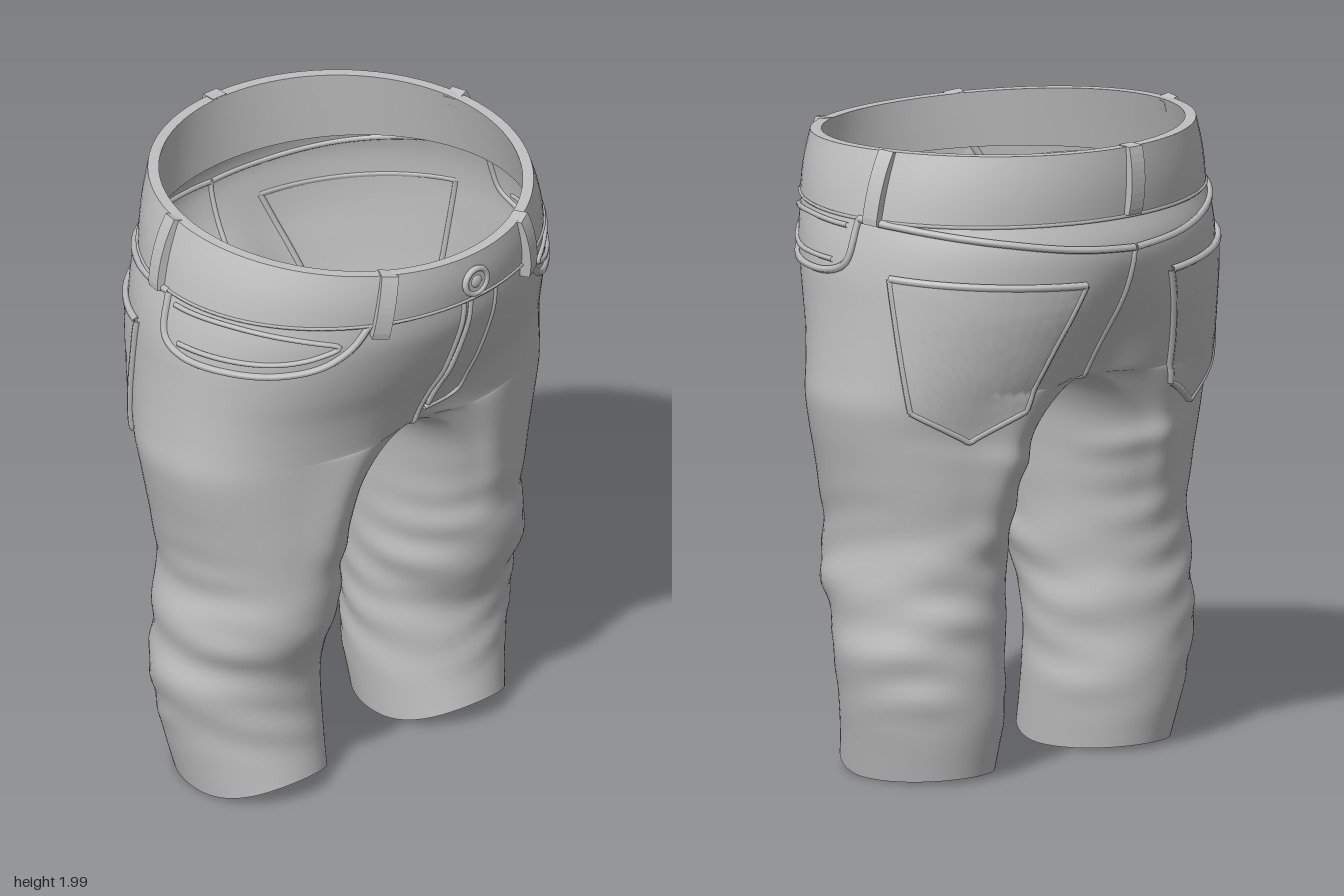
import * as THREE from 'three';
import { mergeVertices } from 'three/addons/utils/BufferGeometryUtils.js';
import { ParametricGeometry } from 'three/addons/geometries/ParametricGeometry.js';

const { sin, cos, abs, pow, exp, max, sqrt, sign, PI } = Math;
const lerp = THREE.MathUtils.lerp, smooth = THREE.MathUtils.smoothstep;

// leg sections: height, outer x, inner x, front z, back z
const LEG = [
  [0, .57, .15, .26, -.27], [.2, .612, .132, .225, -.31], [.4, .65, .13, .22, -.315],
  [.5, .638, .125, .245, -.32], [.6, .645, .12, .29, -.315], [.7, .63, .118, .305, -.325], [.8, .628, .115, .315, -.335],
  [1, .67, .11, .35, -.385], [1.1, .693, .11, .365, -.4], [1.2, .709, .1, .383, -.44], [1.3, .702, .1, .4, -.49],
];
// hip sections: height, side x, front z, back z
const HIP = [
  [.8, .628, .315, -.335], [1, .67, .35, -.385], [1.1, .693, .365, -.405], [1.2, .709, .38, -.445], [1.3, .702, .4, -.493],
  [1.4, .695, .432, -.535], [1.5, .69, .482, -.572], [1.6, .686, .527, -.592], [1.7, .67, .563, -.6], [1.8, .642, .575, -.57],
];

// smooth lookup in a table of sections
function section(table, y) {
  const n = table.length;
  let i = 0;
  while (i < n - 2 && y > table[i + 1][0]) i++;
  const a = table[i], b = table[i + 1], p = table[max(0, i - 1)], q = table[Math.min(n - 1, i + 2)];
  const h = b[0] - a[0], t = THREE.MathUtils.clamp((y - a[0]) / h, 0, 1), t2 = t * t, t3 = t2 * t;
  return a.slice(1).map((va, k) => {
    const vb = b[k + 1];
    const ma = (vb - p[k + 1]) / (b[0] - p[0]) * h, mb = (q[k + 1] - va) / (q[0] - a[0]) * h;
    return (2 * t3 - 3 * t2 + 1) * va + (t3 - 2 * t2 + t) * ma + (3 * t2 - 2 * t3) * vb + (t3 - t2) * mb;
  });
}

const JOIN = 1.25, ALPHA = 115 * PI / 180;

// half hip contour, from back centre (-90 deg) over the side to front centre (+90 deg)
function hipPoint(psi, y) {
  const [xo, zf, zb] = section(HIP, y);
  const e = lerp(.85, 1, smooth(y, 1.1, 1.75));
  const x = xo * pow(max(0, cos(psi)), e), s = sin(psi);
  const dip = s > 0 ? .16 * (1 - smooth(y, 1.15, 1.5)) : .23 * (1 - smooth(y, 1.15, 1.68));
  const z = (s > 0 ? zf : -zb) * sign(s) * pow(abs(s), e) * (1 - dip * exp(-((x / .14) ** 2)));
  return [x, y, z];
}

// ring where leg and hips meet; its inner arc is the crotch curve
function joinPoint(phi) {
  if (phi <= ALPHA) return hipPoint(phi / ALPHA * PI / 2, JOIN);
  const s = (phi - ALPHA) / (2 * PI - 2 * ALPHA);
  const f = hipPoint(PI / 2, JOIN)[2], b = hipPoint(-PI / 2, JOIN)[2];
  return [0, JOIN - .03 * sin(PI * s), (f + b) / 2 + (f - b) / 2 * cos(PI * s)];
}

function legPoint(phi, t, side) {
  const j = joinPoint(phi), s = sin(phi), c = cos(phi);
  const hem = .01 + (s > 0 ? .07 : .015) * s * s;
  const y = lerp(hem, j[1], t);
  // ease into the hips outside, round off into an arch inside
  const turn = Math.min(abs(phi), 2 * PI - phi);
  const k = smooth(turn, 1.2, ALPHA);
  const w = lerp(smooth(t, .5, 1), 1 - sqrt(max(0, 1 - pow(t, 6))), k);
  const hip = phi <= ALPHA ? hipPoint(phi / ALPHA * PI / 2, y) : j;
  const [xo, xi, zf, zb] = section(LEG, y);
  // soft slanted cloth folds, fading around the leg
  const mask = smooth(y, .08, .3) * (1 - smooth(y, .75, 1.05));
  const fold = mask * (.005 * sin(27 * y + 2.6 * c * side + s) * (.5 + .5 * sin(2 * phi + side + 5 * y))
    + .004 * sin(46 * y - 4 * c + 3 * s * side) * (.5 + .5 * cos(phi * 3 + 7 * y)))
    + .012 * smooth(-s, .3, .95) * exp(-(((y - 1.03 - .06 * c) / .04) ** 2));
  const x = (xo + xi) / 2 + ((xo - xi) / 2 + fold) * c;
  const z = (zf + zb) / 2 + ((zf - zb) / 2 + fold) * s;
  return [lerp(x, lerp(hip[0], j[0], k), w), y, lerp(z, lerp(hip[2], j[2], k), w)];
}

// trouser cloth: two mirrored legs flowing into the hips
function clothGeometry() {
  const NO = 52, NI = 32, M = NO + NI, K = 64, U = 26, pos = [], idx = [];
  for (const side of [1, -1]) {
    const base = pos.length / 3;
    const add = p => pos.push(p[0] * side, p[1], p[2]);
    const quad = (a, b, c, d) => side > 0 ? idx.push(a, b, c, a, c, d) : idx.push(a, c, b, a, d, c);
    const angle = j => j <= NO ? lerp(-ALPHA, ALPHA, j / NO) : lerp(ALPHA, 2 * PI - ALPHA, (j - NO) / NI);
    for (let i = 0; i <= K; i++) for (let j = 0; j < M; j++) add(legPoint(angle(j), 1 - pow(1 - i / K, 1.5), side));
    for (let i = 0; i < K; i++) for (let j = 0; j < M; j++) {
      const a = base + i * M + j, b = base + i * M + (j + 1) % M;
      quad(a, a + M, b + M, b);
    }
    const top = pos.length / 3, W = NO + 1;
    for (let i = 0; i <= U; i++) for (let j = 0; j <= NO; j++) add(hipPoint(lerp(-PI / 2, PI / 2, j / NO), lerp(JOIN, 1.8, i / U)));
    for (let i = 0; i < U; i++) for (let j = 0; j < NO; j++) {
      const a = top + i * W + j;
      quad(a, a + W, a + W + 1, a + 1);
    }
  }
  let g = new THREE.BufferGeometry();
  g.setAttribute('position', new THREE.Float32BufferAttribute(pos, 3));
  g.setIndex(idx);
  g = mergeVertices(g, 1e-4);
  g.computeVertexNormals();
  return g;
}

// waistband surface: angle, height fraction, outward offset
function band(psi, v, off = 0) {
  const s = sin(psi), c = cos(psi);
  const top = 1.985 - .03 * s - .015 * s * s;
  const rz = s > 0 ? lerp(.583, .592, v) : lerp(.582, .592, v);
  return new THREE.Vector3((lerp(.65, .589, v) + off) * c, lerp(1.775, top, v), (rz + off) * s);
}

export function createModel() {
  const root = new THREE.Group();
  const cloth = new THREE.MeshStandardMaterial({ color: 0xc0c0c0, side: THREE.DoubleSide });
  cloth.name = 'grey cloth';
  const add = (name, geo) => {
    const m = new THREE.Mesh(geo, cloth);
    m.name = name;
    root.add(m);
    return m;
  };
  const body = add('trouserCloth', clothGeometry());
  body.updateMatrixWorld();

  // drop a point onto the cloth, looking from outside towards the line x = cx, z = 0
  const ray = new THREE.Raycaster();
  const project = ([x, y, z], off = 0, cx = 0) => {
    const out = new THREE.Vector3(x - cx, 0, z).normalize();
    ray.set(new THREE.Vector3(cx, y, 0).addScaledVector(out, 2), out.clone().negate());
    const hit = ray.intersectObject(body)[0];
    return (hit ? hit.point : new THREE.Vector3(x, y, z)).clone().addScaledVector(out, off);
  };
  const tube = (name, pts, r = .009) =>
    add(name, new THREE.TubeGeometry(new THREE.CatmullRomCurve3(pts, false, 'centripetal'), pts.length * 4, r, 6));
  // seam through a few guide points, refined and laid on the cloth
  const seam = (name, guide, r) => {
    const curve = new THREE.CatmullRomCurve3(guide.map(p => new THREE.Vector3(...p)), false, 'centripetal');
    tube(name, curve.getPoints(28).map(p => project(p.toArray(), .003)), r);
  };

  // waistband: outer face, rim, inner face and lower edge
  const T = .034;
  const strip = (name, f, n) => add(name, new ParametricGeometry((u, v, p) => p.copy(f(u * 2 * PI, v)), 96, n));
  strip('waistbandOuter', (a, v) => band(a, v, .007 * sin(PI * v)), 6);
  strip('waistbandRim', (a, v) => band(a, 1, -T * v), 1);
  strip('waistbandInner', (a, v) => band(a, v, -T), 4);
  strip('waistbandLowerEdge', (a, v) => band(a, 0, -T * v), 1);
  const hemLine = Array.from({ length: 64 }, (_, i) => band(i / 64 * 2 * PI, .03, .001));
  add('waistbandStitch', new THREE.TubeGeometry(new THREE.CatmullRomCurve3(hemLine, true), 128, .006, 5, true));

  // belt loops
  const loop = (psi, v0) => {
    const p0 = band(psi, v0), p1 = band(psi, 1), up = p1.clone().sub(p0), h = up.length();
    up.normalize();
    const side = new THREE.Vector3(p1.x, 0, p1.z).normalize().cross(up).normalize();
    const out = up.clone().cross(side);
    const s = new THREE.Shape();
    s.moveTo(-.034, h + .002);
    s.lineTo(.014, h + .002);
    s.quadraticCurveTo(.043, h * .55, .026, .01);
    s.lineTo(.02, -.01);
    s.lineTo(-.012, -.01);
    s.lineTo(.006, h * .5);
    s.lineTo(-.034, h - .03);
    const g = new THREE.ExtrudeGeometry(s, { depth: .054, bevelEnabled: false, curveSegments: 8 });
    g.translate(0, 0, -.027);
    g.applyMatrix4(new THREE.Matrix4().makeBasis(out, up, side).setPosition(p0));
    add('beltLoop', g);
  };
  for (const a of [1.1, PI - 1.1]) loop(a, -.15);
  for (const a of [-.2, PI + .2]) loop(a, 0);
  loop(-PI / 2, .1);

  for (const s of [1, -1]) {
    const mir = pts => pts.map(([x, y, z]) => [x * s, y, z]);
    // front pocket opening and the small pocket within
    seam('frontPocketEdge', mir([[.32, 1.78, .5], [.37, 1.7, .47], [.45, 1.64, .43], [.55, 1.61, .35], [.63, 1.603, .2],
      [.68, 1.615, .02], [.68, 1.65, -.04], [.66, 1.78, -.06]]), .012);
    seam('coinPocketEdge', mir([[.66, 1.755, -.02], [.6, 1.755, .22], [.46, 1.73, .4], [.4, 1.71, .45], [.46, 1.675, .41],
      [.55, 1.65, .33], [.66, 1.645, .02]]), .009);
    // yoke seam across the back
    seam('yokeSeam', mir([[.66, 1.78, -.06], [.6, 1.765, -.25], [.4, 1.73, -.46], [.2, 1.7, -.56], [.004, 1.685, -.6]]), .012);

    // back pocket with pointed bottom and piped border
    const spot = (u, v, off) => {
      const top = lerp(1.585, 1.615, u);
      const bottom = u < .5 ? lerp(1.19, 1.1, u * 2) : lerp(1.1, 1.2, u * 2 - 1);
      const a = lerp(lerp(-.13, .11, v), lerp(1.1, .95, v), u);
      return project([(.25 + sin(a)) * s, lerp(top, bottom, v), -cos(a)], off, .25 * s);
    };
    add('backPocket', new ParametricGeometry((u, v, p) => p.copy(spot(u, v, .011)), 28, 28));
    const run = f => Array.from({ length: 15 }, (_, i) => f(i / 14));
    tube('backPocketTop', run(t => spot(t, 0, .007)), .012);
    tube('backPocketInnerEdge', run(t => spot(0, t, .005)), .011);
    tube('backPocketOuterEdge', run(t => spot(1, t, .005)), .011);
    tube('backPocketBottom', run(t => spot(t, 1, .005)), .011);
  }

  // fly panel with its edges
  const flyAt = (x, y, off) => project([x, y, 1], off, x);
  const flyBottom = u => 1.31 + .06 * u * u;
  add('flyPanel', new ParametricGeometry((u, v, p) => p.copy(flyAt(lerp(.022, .13, u), lerp(1.775, flyBottom(u), v), .008)), 8, 20));
  const flyEdge = [];
  for (let i = 0; i <= 12; i++) flyEdge.push(flyAt(.13, lerp(1.775, 1.38, i / 12), .005));
  for (const [x, y] of [[.12, 1.345], [.09, 1.325], [.05, 1.312], [.012, 1.305]]) flyEdge.push(flyAt(x, y, .005));
  tube('flyEdge', flyEdge, .009);
  tube('flyOpening', Array.from({ length: 14 }, (_, i) => flyAt(.022, lerp(1.775, 1.32, i / 13), .006)), .008);

  // centre seam from front to back through the crotch
  const centre = [];
  for (let i = 0; i <= 12; i++) centre.push(new THREE.Vector3(...hipPoint(PI / 2, lerp(1.78, JOIN, i / 12))));
  for (let i = 1; i < 14; i++) centre.push(new THREE.Vector3(...joinPoint(lerp(ALPHA, 2 * PI - ALPHA, i / 14))));
  for (let i = 0; i <= 12; i++) centre.push(new THREE.Vector3(...hipPoint(-PI / 2, lerp(JOIN, 1.69, i / 12))));
  tube('centreSeam', centre, .009);

  // waist button
  const button = new THREE.Group();
  button.name = 'button';
  const disc = new THREE.Mesh(new THREE.CylinderGeometry(.045, .05, .024, 28).rotateX(PI / 2), cloth);
  const rim = new THREE.Mesh(new THREE.TorusGeometry(.043, .01, 8, 28).translate(0, 0, .009), cloth);
  const stud = new THREE.Mesh(new THREE.SphereGeometry(.022, 16, 8).scale(1, 1, .4).translate(0, 0, .01), cloth);
  disc.name = 'buttonDisc';
  rim.name = 'buttonRim';
  stud.name = 'buttonStud';
  button.add(disc, rim, stud);
  button.position.set(.02, 1.85, .594);
  root.add(button);

  return root;
}
